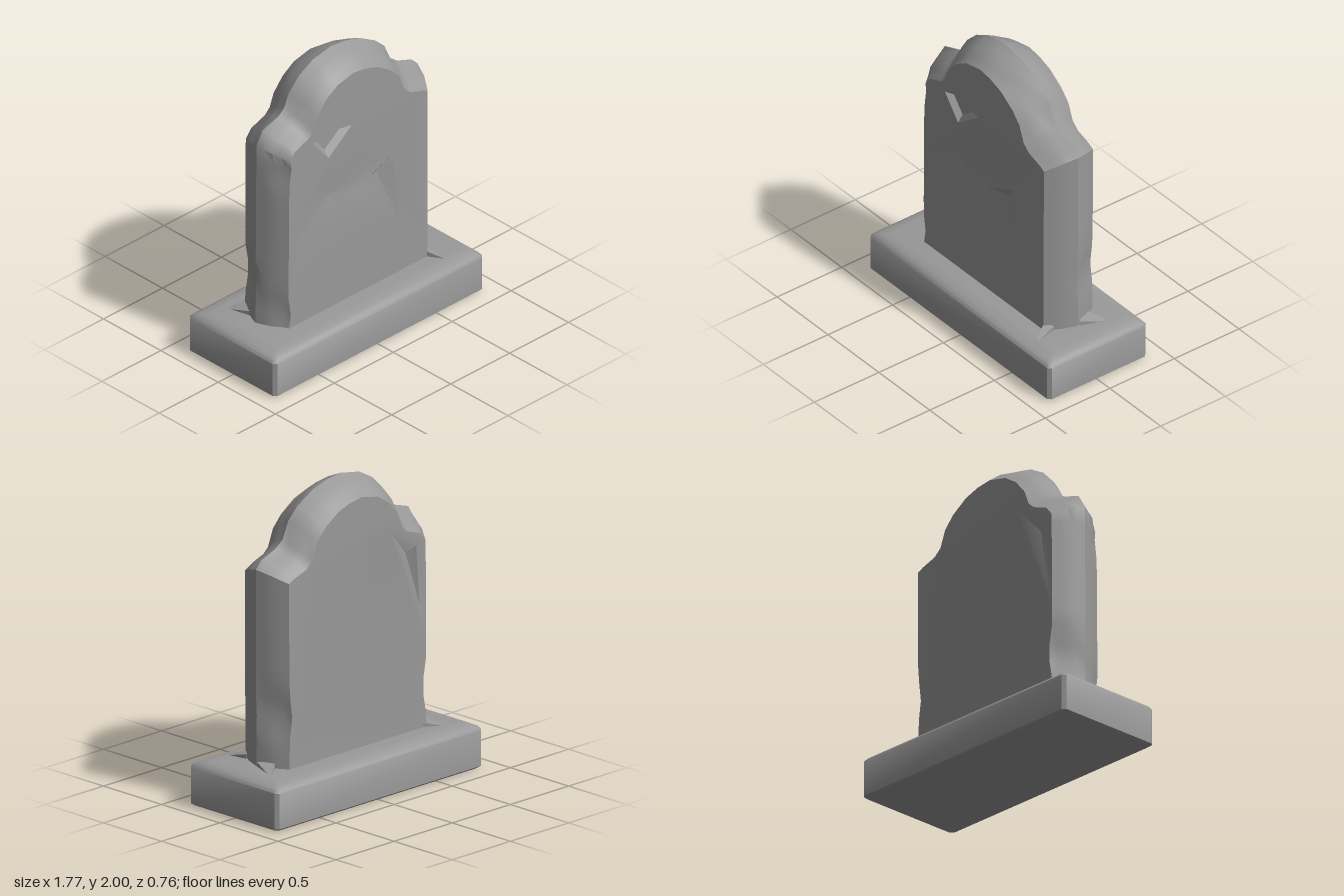
import * as THREE from 'three';
import { mergeGeometries, toCreasedNormals } from 'three/addons/utils/BufferGeometryUtils.js';
import { ConvexGeometry } from 'three/addons/geometries/ConvexGeometry.js';

const stone = new THREE.MeshStandardMaterial({ color: 0x999999 });
stone.name = 'grey stone';

function fromTriangles(points) {
  const g = new THREE.BufferGeometry();
  g.setAttribute('position', new THREE.Float32BufferAttribute(points.flat(), 3));
  return g;
}

// Skin between rings of [x, y, z] points, counter-clockwise, stacked along +z
function loft(rings) {
  const t = [];
  for (let j = 0; j + 1 < rings.length; j++) {
    const a = rings[j], b = rings[j + 1], n = a.length;
    for (let i = 0; i < n; i++) {
      const k = (i + 1) % n;
      t.push(a[i], a[k], b[k], a[i], b[k], b[i]);
    }
  }
  return fromTriangles(t);
}

// Flat face over a ring, with openings for the chips
function cap(ring, z, flip, holes = []) {
  const shape = new THREE.Shape(ring.map(p => new THREE.Vector2(p[0], p[1])));
  holes.forEach(h => shape.holes.push(new THREE.Path(h.map(p => new THREE.Vector2(...p)))));
  const src = new THREE.ShapeGeometry(shape).toNonIndexed().getAttribute('position');
  const t = [];
  for (let i = 0; i < src.count; i += 3) {
    const tri = [0, 1, 2].map(k => [src.getX(i + k), src.getY(i + k), z]);
    t.push(...(flip ? tri.reverse() : tri));
  }
  return fromTriangles(t);
}

// Recess inside an opening: sloping walls, then a floor round the centre
function recess({ outline, centre, depth, floor }, z) {
  const s = Math.sign(z), t = [], deep = z - s * depth;
  const inner = outline.map(p => [
    centre[0] + (p[0] - centre[0]) * floor, centre[1] + (p[1] - centre[1]) * floor, deep]);
  const c = [centre[0], centre[1], deep];
  outline.forEach((p, i) => {
    const k = (i + 1) % outline.length;
    const a = [...p, z], b = [...outline[k], z];
    const tris = [[a, b, inner[k]]];
    if (floor > 0) tris.push([a, inner[k], inner[i]], [inner[i], inner[k], c]);
    tris.forEach(tri => {
      const area = (tri[1][0] - tri[0][0]) * (tri[2][1] - tri[0][1]) - (tri[2][0] - tri[0][0]) * (tri[1][1] - tri[0][1]);
      t.push(...(area * s > 0 ? tri : tri.reverse()));
    });
  });
  return fromTriangles(t);
}

function subdivide(points, step) {
  return points.flatMap((p, i) => {
    const q = points[(i + 1) % points.length];
    const n = Math.max(1, Math.round(Math.hypot(q[0] - p[0], q[1] - p[1]) / step));
    return Array.from({ length: n }, (_, k) => [p[0] + (q[0] - p[0]) * k / n, p[1] + (q[1] - p[1]) * k / n]);
  });
}

function finish(parts, name, crease) {
  const bare = parts.map(g => {
    const h = g.index ? g.toNonIndexed() : g;
    h.deleteAttribute('normal');
    h.deleteAttribute('uv');
    return h;
  });
  const mesh = new THREE.Mesh(toCreasedNormals(mergeGeometries(bare), crease), stone);
  mesh.name = name;
  return mesh;
}

function makeSlab() {
  // Shouldered outline with a domed head
  const outline = subdivide([
    [-0.685, 0.26], [0.685, 0.26], [0.69, 1.55], [0.64, 1.6], [0.52, 1.645], [0.46, 1.69], [0.41, 1.8],
    [0.33, 1.875], [0.2, 1.95], [0.08, 1.985], [-0.04, 2], [-0.2, 1.97], [-0.31, 1.91], [-0.4, 1.82],
    [-0.44, 1.73], [-0.49, 1.69], [-0.62, 1.65], [-0.675, 1.56],
  ], 0.12);

  // Knocks in the rim: x, y, z, radius, depth
  const knocks = [
    [0.25, 1.88, 0.13, 0.1, 0.04], [0.42, 1.74, 0.06, 0.08, 0.03], [0.56, 1.6, -0.08, 0.09, 0.035],
    [0.25, 1.9, -0.08, 0.07, 0.03], [-0.42, 1.74, 0.1, 0.08, 0.03], [-0.55, 1.63, -0.12, 0.1, 0.04],
    [-0.62, 1.42, 0.16, 0.13, 0.03], [-0.62, 0.38, 0.16, 0.13, 0.03], [-0.62, 0.55, -0.15, 0.2, 0.04],
    [0.64, 0.62, -0.14, 0.17, 0.04], [-0.16, 1.95, -0.1, 0.07, 0.02],
  ];
  const inset = z => {
    const a = Math.abs(z);
    return a < 0.1 ? a * 4 : 0.4 + (a - 0.1) / 0.09 * 0.6;
  };
  const ringAt = z => outline.map(([x0, y0]) => {
    const f = inset(z);
    let x = x0 * (1 - 0.14 * f);
    let y = y0 - 0.11 * f * THREE.MathUtils.smoothstep(y0, 1.4, 1.65);
    let push = 0;
    for (const [kx, ky, kz, r, d] of knocks) {
      push += d * Math.max(0, 1 - Math.hypot(x - kx, y - ky, z - kz) / r);
    }
    const dy = y > 1.58 ? y - 1.2 : 0, len = Math.hypot(x, dy) || 1;
    x -= push * x / len;
    y -= push * dy / len;
    return [x, y, z];
  });
  const rings = [-0.19, -0.145, -0.1, -0.05, 0, 0.05, 0.1, 0.145, 0.19].map(ringAt);

  // Broken patches on the two faces
  const frontChips = [
    { outline: [[-0.38, 1.53], [-0.25, 1.37], [-0.05, 1.52], [-0.3, 1.57]], centre: [-0.25, 1.5], depth: 0.035, floor: 0.65 },
    { outline: [[0.04, 1.05], [0.36, 0.64], [0.3, 1.09], [0.3, 1.17]], centre: [0.2, 1.06], depth: 0.045, floor: 0.02 },
    { outline: [[-0.53, 0.85], [-0.2, 1.04], [-0.06, 1.08], [-0.1, 1.2], [-0.36, 1.2]], centre: [-0.23, 1.1], depth: 0.015, floor: 0.02 },
  ];
  const backChips = [
    { outline: [[-0.27, 1.62], [-0.5, 1.47], [-0.53, 1.08]], centre: [-0.45, 1.42], depth: 0.04, floor: 0.02 },
  ];
  return finish([
    loft(rings),
    cap(rings[rings.length - 1], 0.19, false, frontChips.map(c => c.outline)),
    cap(rings[0], -0.19, true, backChips.map(c => c.outline)),
    ...frontChips.map(c => recess(c, 0.19)),
    ...backChips.map(c => recess(c, -0.19)),
  ], 'headstone', 0.65);
}

function makeBase() {
  // Rounded-edge plinth, stacked upwards: height and inset
  const layers = [[0, 0.02], [0.015, 0], [0.245, 0], [0.265, 0.015], [0.28, 0.045], [0.29, 0.09]];
  const rings = layers.map(([h, d]) => {
    const x = 0.887 - d, y = 0.38 - d, c = 0.02;
    return subdivide([
      [-x + c, -y], [x - c, -y], [x, -y + c], [x, y - c], [x - c, y], [-x + c, y], [-x, y - c], [-x, -y + c],
    ], 3).map(p => [...p, h]);
  });
  const base = finish(
    [loft(rings), cap(rings[0], 0, true), cap(rings[rings.length - 1], 0.29, false)], 'base', 0.7);
  base.geometry.rotateX(-Math.PI / 2);
  return base;
}

export function createModel() {
  const group = new THREE.Group();
  group.name = 'gravestone';
  group.add(makeBase(), makeSlab());

  // Low splinters of stone where the slab meets the base
  const splinters = [
    [[-0.7, -0.26], [-0.52, -0.17], [-0.65, -0.08]],
    [[0.76, -0.2], [0.62, -0.1], [0.69, -0.01]],
    [[0.66, 0.31], [0.58, 0.18], [0.63, 0.14]],
  ];
  for (const s of splinters) {
    const points = s.map(([x, z]) => new THREE.Vector3(x, 0.28, z));
    points.push(new THREE.Vector3(s[1][0], 0.33, s[1][1]), new THREE.Vector3(s[2][0], 0.32, s[2][1]));
    group.add(finish([new ConvexGeometry(points)], 'splinter', 0.3));
  }
  return group;
}
